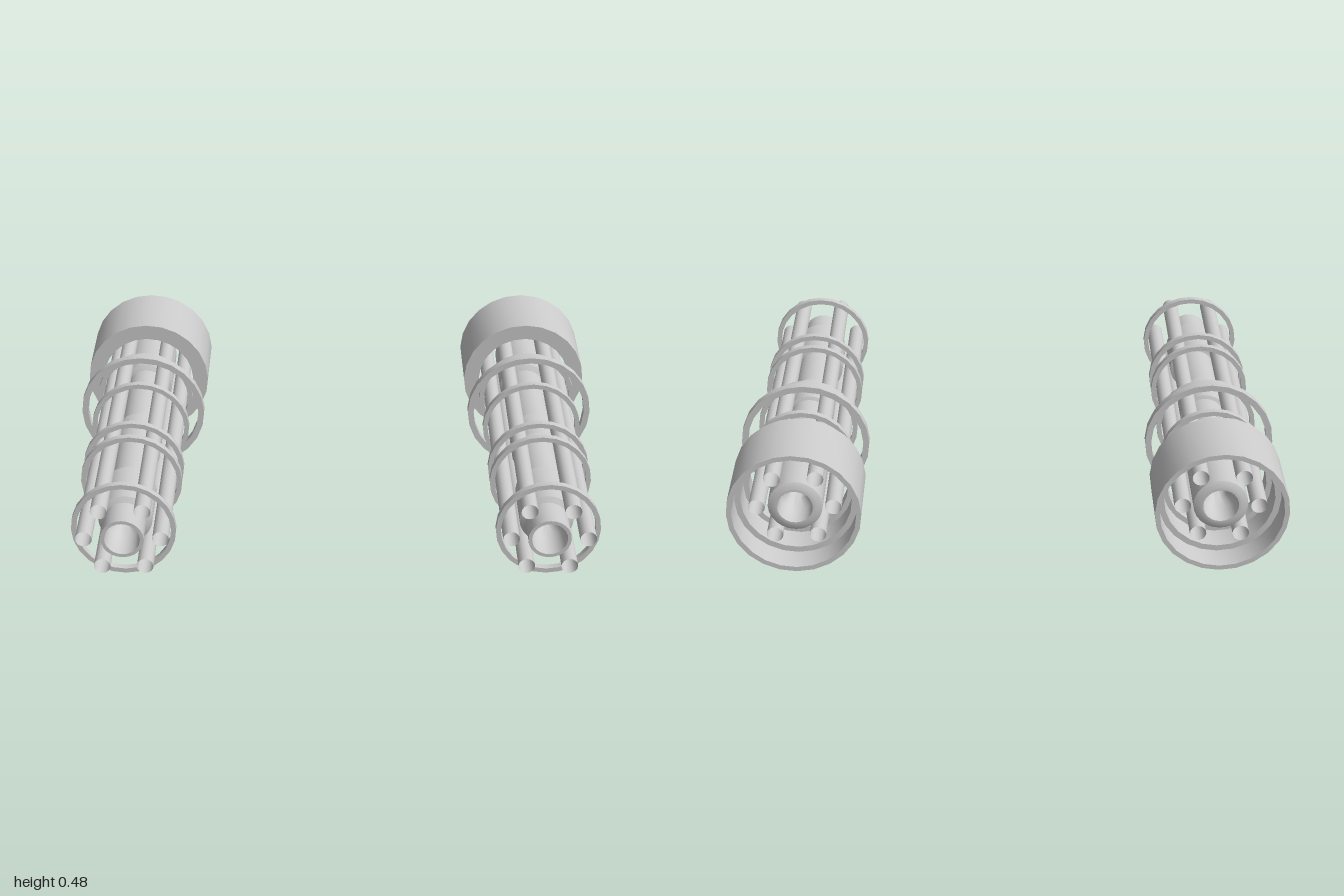
import * as THREE from 'three';
import { toCreasedNormals } from 'three/addons/utils/BufferGeometryUtils.js';

const material = new THREE.MeshStandardMaterial({ color: 0xcccccc });
const openMaterial = new THREE.MeshStandardMaterial({ color: 0xcccccc, side: THREE.DoubleSide });

// Turn a closed [radius, z] outline around the z axis; the outer side runs towards +z
function turned(name, outline, sides = 24) {
  const points = [...outline, outline[0]].map(([r, z]) => new THREE.Vector2(r, z));
  const geometry = new THREE.LatheGeometry(points, sides).rotateX(Math.PI / 2);
  const mesh = new THREE.Mesh(toCreasedNormals(geometry, 0.6), material);
  mesh.name = name;
  return mesh;
}

function ring(name, z, inner, outer, width) {
  const a = z - width / 2, b = z + width / 2;
  return turned(name, [[outer, a], [outer, b], [inner, b], [inner, a]]);
}

function createRotaryGun() {
  const gun = new THREE.Group();

  // Rear housing: open at both ends, the bore narrows in steps towards the front
  gun.add(turned('housing', [
    [0.24, -0.72], [0.24, -0.45], [0.18, -0.45], [0.18, -0.52],
    [0.2, -0.52], [0.2, -0.62], [0.222, -0.62], [0.222, -0.72],
  ]));

  // Hollow central core with three thicker sleeves and flared mouths
  gun.add(turned('core', [
    [0.077, -0.67], [0.098, -0.66], [0.098, -0.385], [0.077, -0.375],
    [0.077, -0.015], [0.09, -0.01], [0.09, 0.135], [0.077, 0.145],
    [0.077, 0.385], [0.098, 0.39], [0.098, 0.59], [0.077, 0.6],
    [0.077, 0.72], [0.064, 0.72], [0.058, 0.62], [0.034, 0.58],
    [0.034, -0.56], [0.058, -0.6], [0.064, -0.67],
  ]));

  // Six open barrels around the core
  const front = 0.72, rear = -0.67;
  const barrelGeometry = new THREE.CylinderGeometry(0.03, 0.03, front - rear, 16, 1, true).rotateX(Math.PI / 2);
  const spots = [[0.137, 0], [0.077, 0.115], [-0.077, 0.115], [-0.137, 0], [-0.077, -0.115], [0.077, -0.115]];
  for (const [x, y] of spots) {
    const barrel = new THREE.Mesh(barrelGeometry, openMaterial);
    barrel.name = 'barrel';
    barrel.position.set(x, y, (front + rear) / 2);
    gun.add(barrel);
  }

  // Clamping rings and the large guard ring
  for (const z of [0.645, 0.32, 0.22, -0.075, -0.305]) {
    gun.add(ring('clampRing', z, 0.17, 0.188, 0.024));
  }
  gun.add(ring('guardRing', -0.195, 0.217, 0.24, 0.032));
  return gun;
}

export function createModel() {
  const model = new THREE.Group();
  model.name = 'rotaryGunPair';
  for (const side of [1, -1]) {
    const gun = createRotaryGun();
    gun.name = side > 0 ? 'leftGun' : 'rightGun';
    gun.position.set(side * 0.76, 0.24, 0);
    model.add(gun);
  }
  return model;
}
